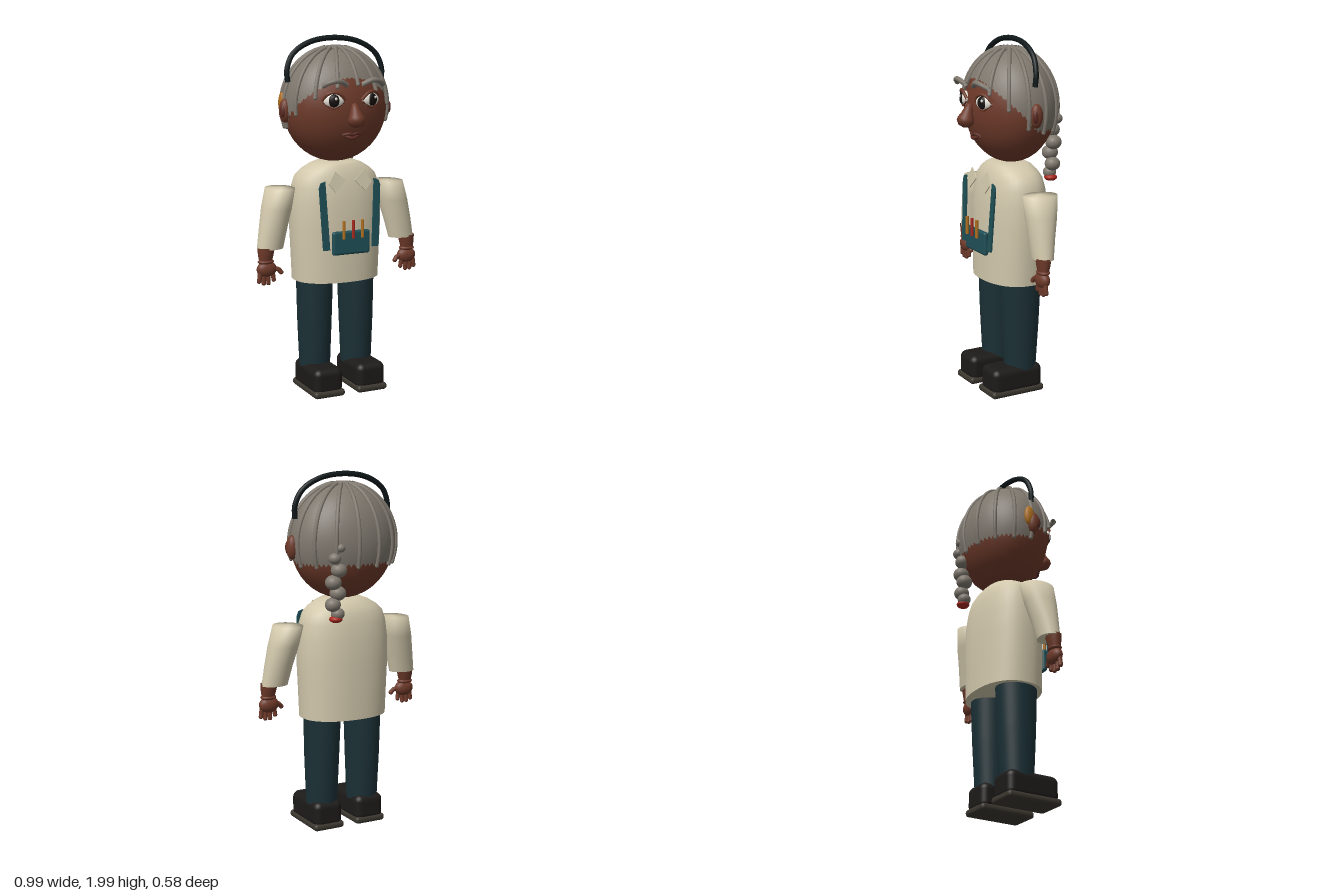
import * as THREE from 'three';
import { RoundedBoxGeometry } from 'three/addons/geometries/RoundedBoxGeometry.js';

const mat = (color) => new THREE.MeshStandardMaterial({ color, side: THREE.DoubleSide });
const V = (p) => new THREE.Vector3(...p);

export function createModel() {
  const model = new THREE.Group();
  const skin = mat(0x6e3a2a), lip = mat(0x5a2a22), hair = mat(0x7f786e), shirt = mat(0xd2c8ac);
  const teal = mat(0x1f5057), trousers = mat(0x1b3036), leather = mat(0x1d1b19), rubber = mat(0x3b372f);
  const black = mat(0x10181a), orange = mat(0xb0701f), red = mat(0xa8281e);
  const white = mat(0xe8e4da), iris = mat(0x15110f);

  const add = (name, geometry, material, pos = [0, 0, 0], parent = model) => {
    const mesh = new THREE.Mesh(geometry, material);
    mesh.name = name;
    mesh.position.set(...pos);
    parent.add(mesh);
    return mesh;
  };
  const ball = (name, material, pos, radii, parent = model) => {
    const mesh = add(name, new THREE.SphereGeometry(1, 28, 20), material, pos, parent);
    mesh.scale.set(...radii);
    return mesh;
  };
  const tube = (name, material, points, r, parent = model, segs = 24) =>
    add(name, new THREE.TubeGeometry(new THREE.CatmullRomCurve3(points.map(V)), segs, r, 10), material, [0, 0, 0], parent);

  // Skin over rings [x, y, z, rx, rz] listed upwards; a repeated ring makes a crease
  const loft = (rings, power = 2, n = 40) => {
    const pos = [], idx = [];
    const bend = (c) => Math.sign(c) * Math.abs(c) ** (2 / power);
    rings.forEach(([x, y, z, rx, rz], r) => {
      for (let i = 0; i < n; i++) {
        const a = (i / n) * Math.PI * 2;
        pos.push(x + rx * bend(Math.cos(a)), y, z + rz * bend(Math.sin(a)));
        if (r === rings.length - 1) continue;
        const p = r * n + i, q = r * n + ((i + 1) % n);
        idx.push(p, p + n, q, q, p + n, q + n);
      }
    });
    const g = new THREE.BufferGeometry();
    g.setAttribute('position', new THREE.Float32BufferAttribute(pos, 3));
    g.setIndex(idx);
    g.computeVertexNormals();
    return g;
  };

  // Shirt body
  add('shirt', loft([
    [0, 0.64, -0.033, 0, 0], [0, 0.64, -0.033, 0.25, 0.178], [0, 0.64, -0.033, 0.25, 0.178],
    [0, 0.8, -0.033, 0.257, 0.179], [0, 0.95, -0.033, 0.265, 0.179], [0, 1.08, -0.033, 0.264, 0.175],
    [0, 1.17, -0.033, 0.253, 0.163], [0, 1.225, -0.033, 0.235, 0.15], [0, 1.26, -0.03, 0.2, 0.135],
    [0, 1.29, -0.025, 0.15, 0.115], [0, 1.305, -0.02, 0.11, 0.095], [0, 1.307, -0.02, 0, 0]], 2.3), shirt);

  // Head
  ball('head', skin, [0, 1.605, -0.033], [0.297, 0.305, 0.237]);
  const nose = add('nose', new THREE.LatheGeometry([[0, -0.055], [0.03, -0.047], [0.047, -0.025], [0.046, -0.005],
    [0.034, 0.02], [0.024, 0.05], [0.014, 0.075], [0, 0.082]].map((p) => new THREE.Vector2(...p)), 24), skin, [0, 1.563, 0.236]);
  nose.rotation.x = -0.3;
  tube('upperLip', lip, [[-0.052, 1.467, 0.178], [-0.02, 1.474, 0.195], [0, 1.468, 0.198], [0.02, 1.474, 0.195], [0.052, 1.467, 0.178]], 0.008);
  tube('lowerLip', lip, [[-0.042, 1.462, 0.178], [0, 1.449, 0.194], [0.042, 1.462, 0.178]], 0.01);

  // Hair cap: the lower edge rises from the nape to the fringe
  const capPoint = (a, theta, k = 1) => [0.305 * k * Math.sin(theta) * Math.sin(a),
    1.61 + 0.322 * k * Math.cos(theta), -0.034 + 0.248 * k * Math.sin(theta) * Math.cos(a)];
  const capEdge = (a) => {
    const z = -0.034 + 0.235 * Math.cos(a);
    return Math.acos((1.495 + Math.max(0, z + 0.04) * 1.13 - 1.61) / 0.322);
  };
  const cap = new THREE.SphereGeometry(1, 64, 32);
  for (let i = 0; i < cap.attributes.position.count; i++) {
    const a = cap.attributes.uv.getX(i) * Math.PI * 2 - Math.PI / 2;
    const t = (1 - cap.attributes.uv.getY(i)) * capEdge(a);
    cap.attributes.position.setXYZ(i, ...capPoint(a, t));
  }
  cap.computeVertexNormals();
  add('hairCap', cap, hair);
  ball('crown', hair, [0, 1.926, -0.03], [0.07, 0.016, 0.058]);

  // Raised strands running from the crown to the hairline
  const strands = new THREE.Group();
  strands.name = 'hairStrands';
  model.add(strands);
  for (let s = 0; s < 15; s++) {
    const a = Math.PI - 0.1 + (s * Math.PI * 2) / 15;
    const end = capEdge(a) + (Math.cos(a) > 0.2 ? 0.1 : 0);
    const pts = [];
    for (let i = 0; i <= 8; i++) pts.push(capPoint(a, 0.2 + ((end - 0.2) * i) / 8, 1.01));
    tube('strand', hair, pts, 0.011, strands);
    ball('strandTip', hair, pts[8], [0.011, 0.011, 0.011], strands);
  }

  // Braid with a tie
  [[1.6, 0.026, -0.25], [1.545, 0.034, -0.24], [1.48, 0.044, -0.23], [1.415, 0.045, -0.222],
    [1.355, 0.045, -0.218], [1.295, 0.043, -0.217], [1.243, 0.037, -0.217]].forEach(([y, r, z], i) =>
    ball('braidBead', hair, [0.14 + (i % 2 ? 0.018 : -0.012), y, z], [r, r * 0.9, r]));
  ball('braidTie', red, [0.14, 1.215, -0.217], [0.036, 0.02, 0.036]);

  // Headband and ear piece
  tube('headband', black, [[-0.285, 1.745, -0.026], [-0.288, 1.81, -0.03], [-0.25, 1.895, -0.038], [-0.15, 1.957, -0.044],
    [0, 1.98, -0.047], [0.15, 1.957, -0.044], [0.25, 1.895, -0.038], [0.288, 1.81, -0.03], [0.285, 1.745, -0.026]], 0.015, model, 60);
  ball('earPiece', orange, [-0.307, 1.63, -0.055], [0.02, 0.06, 0.03]);

  // Paired parts
  for (const s of [1, -1]) {
    ball('ear', skin, [s * 0.303, 1.592, -0.025], [0.033, 0.066, 0.036]);
    ball('earInner', lip, [s * 0.322, 1.59, -0.012], [0.014, 0.036, 0.02]);

    // Eye with lids and brow
    const eye = new THREE.Group();
    eye.name = 'eye';
    eye.position.set(s * 0.11, 1.655, 0.185);
    eye.rotation.y = s * 0.3;
    model.add(eye);
    ball('eyeball', white, [0, 0, 0], [0.056, 0.04, 0.026], eye);
    ball('iris', iris, [0, 0, 0.016], [0.031, 0.034, 0.015], eye);
    ball('glint', white, [0.01, 0.012, 0.029], [0.008, 0.008, 0.004], eye);
    tube('upperLid', skin, [[-0.062, 0.002, 0], [-0.035, 0.034, 0.014], [0, 0.045, 0.018], [0.035, 0.034, 0.014], [0.062, 0.002, 0]], 0.009, eye);
    tube('lowerLid', skin, [[-0.058, -0.008, 0], [0, -0.041, 0.012], [0.058, -0.008, 0]], 0.006, eye);
    tube('eyebrow', hair, [[s * 0.18, 1.735, 0.195], [s * 0.145, 1.755, 0.222], [s * 0.1, 1.762, 0.232], [s * 0.045, 1.738, 0.215]], 0.014);

    // Sleeve
    add('sleeve', loft([
      [s * 0.407, 0.84, -0.005, 0, 0], [s * 0.407, 0.84, -0.005, 0.075, 0.055], [s * 0.407, 0.84, -0.005, 0.075, 0.055],
      [s * 0.385, 0.95, -0.012, 0.08, 0.07], [s * 0.36, 1.06, -0.022, 0.085, 0.088],
      [s * 0.335, 1.17, -0.03, 0.08, 0.1], [s * 0.325, 1.172, -0.03, 0, 0]]), shirt);

    // Forearm and hand
    add('forearm', loft([[s * 0.44, 0.77, 0.01, 0.036, 0.027], [s * 0.438, 0.81, 0.008, 0.044, 0.036],
      [s * 0.434, 0.85, 0.006, 0.05, 0.042]], 2, 24), skin);
    ball('wrist', skin, [s * 0.439, 0.772, 0.01], [0.046, 0.016, 0.034]);
    ball('palm', skin, [s * 0.435, 0.73, 0.012], [0.058, 0.045, 0.034]);
    [[0.475, 0.482, 0.665], [0.452, 0.455, 0.653], [0.428, 0.427, 0.652], [0.402, 0.396, 0.668]].forEach(([x0, x1, y1]) => {
      tube('finger', skin, [[s * x0, 0.72, 0.014], [s * (x0 + x1) / 2, 0.69, 0.017], [s * x1, y1, 0.016]], 0.0125, model, 8);
      ball('fingertip', skin, [s * x1, y1, 0.016], [0.0125, 0.0125, 0.0125]);
    });
    tube('thumb', skin, [[s * 0.4, 0.73, 0.014], [s * 0.37, 0.725, 0.02], [s * 0.355, 0.708, 0.024]], 0.013, model, 8);
    ball('thumbTip', skin, [s * 0.355, 0.708, 0.024], [0.013, 0.013, 0.013]);

    // Trouser leg and shoe
    add('trouserLeg', loft([[s * 0.13, 0.13, -0.028, 0.087, 0.09], [s * 0.13, 0.4, -0.03, 0.096, 0.106],
      [s * 0.128, 0.66, -0.032, 0.102, 0.118]]), trousers);
    add('shoe', new RoundedBoxGeometry(0.176, 0.15, 0.315, 5, 0.04), leather, [s * 0.132, 0.087, 0.027]);
    add('sole', new RoundedBoxGeometry(0.186, 0.04, 0.33, 4, 0.018), rubber, [s * 0.132, 0.02, 0.029]);

    // Strap with a slanted top end
    const strap = new THREE.Shape([[-0.185, 1.18], [-0.175, 1.207], [-0.147, 1.217], [-0.147, 1.19], [-0.128, 0.838], [-0.168, 0.838]]
      .map(([x, y]) => new THREE.Vector2(-s * x, y)));
    const strapGeo = new THREE.ExtrudeGeometry(strap, { depth: 0.01, bevelEnabled: false });
    strapGeo.translate(0, -1, 0).rotateX(-0.05);
    add('strap', strapGeo, teal, [0, 1, 0.163]);

    // Collar flap
    const flap = new THREE.Shape([[0.13, 1.2], [0.087, 1.268], [0.027, 1.215], [0.09, 1.153]]
      .map(([x, y]) => new THREE.Vector2(s * x, y)));
    const flapGeo = new THREE.ExtrudeGeometry(flap, { depth: 0.006, bevelEnabled: false });
    flapGeo.translate(0, -1.2, 0).rotateX(-0.14);
    add('collarFlap', flapGeo, shirt, [0, 1.2, 0.16]);
  }

  // Pouch with three pens
  add('pouch', new RoundedBoxGeometry(0.226, 0.132, 0.03, 4, 0.014), teal, [0, 0.872, 0.174]);
  [-0.057, 0, 0.056].forEach((x, i) =>
    add('pen', new THREE.CylinderGeometry(0.009, 0.009, 0.1, 14), i === 1 ? red : orange, [x, 0.95, 0.205]));

  return model;
}
